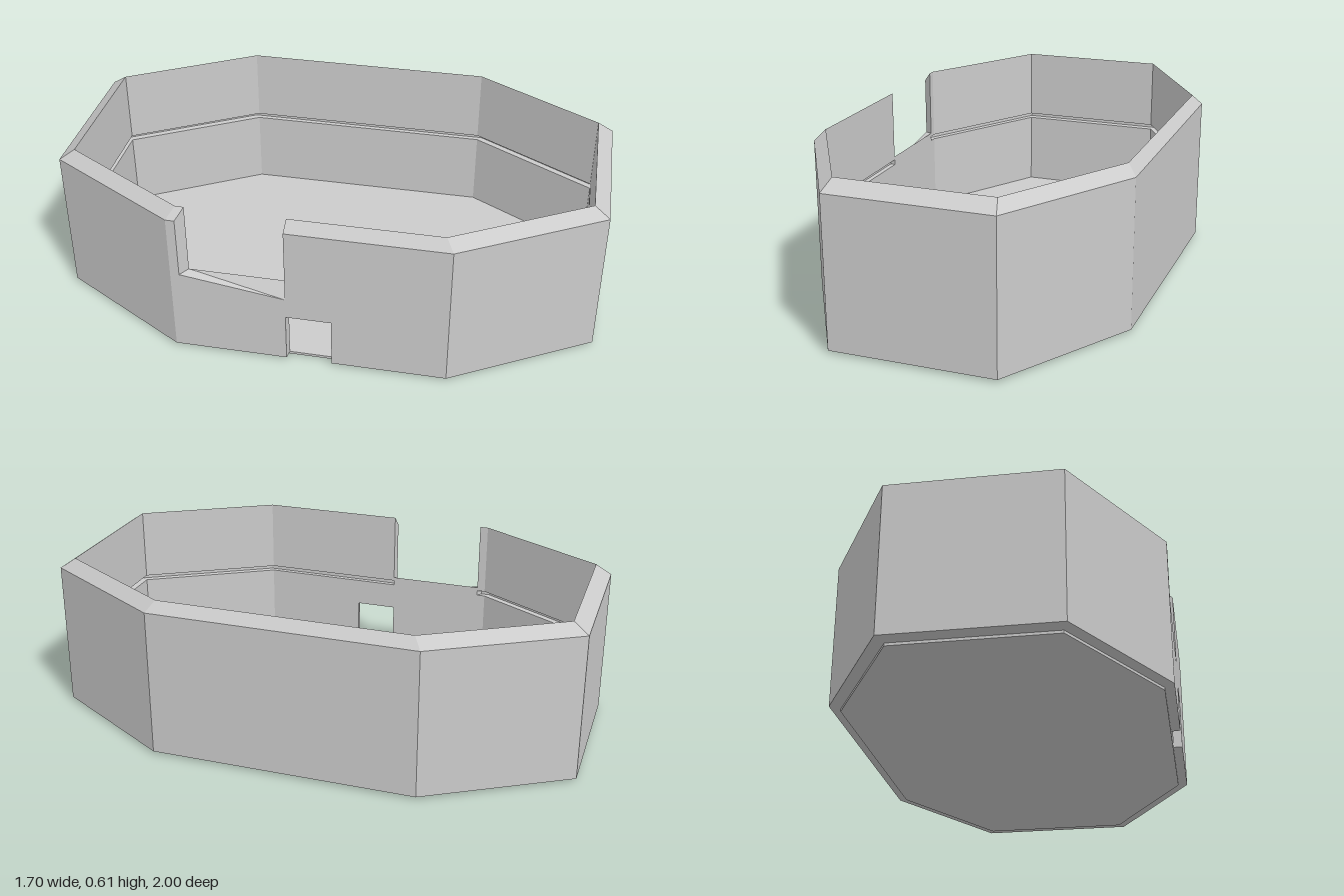
import * as THREE from 'three';

// Outer octagon as (x, z) corners; the inner one is the same shape scaled
const HALF = [[-0.36, -1], [0.19, -0.77], [0.79, -0.0 + 0.045], [0.85, 0.635]];
const CORNERS = [...HALF, ...HALF.map(([x, z]) => [-x, -z])];
const INNER = 0.943, GROOVE = 0.975;

const material = new THREE.MeshStandardMaterial({ color: 0xcccccc, flatShading: true });

// Wall cross-sections: [scale of octagon, height], up the outside and down the inside
const rim = [[1, 0.57], [INNER, 0.61]];
const groove = [[INNER, 0.326], [GROOVE, 0.326], [GROOVE, 0.306], [INNER, 0.306]];
const fullProfile = [[1, 0.01], ...rim, ...groove, [INNER, 0.01]];
const overSlot = [[1, 0.2], ...rim, ...groove, [INNER, 0.2]];
const underSpout = (lip) => [[1, 0.01], [1, lip], [INNER, 0.34], [INNER, 0.01]];

// Length of wall between fractions t0 and t1 of one octagon side
function wallPiece(side, t0, t1, profA, profB, capped) {
  const [p, q] = [CORNERS[side], CORNERS[(side + 1) % 8]];
  const place = (t, prof) => prof.map(([s, y]) => [
    s * THREE.MathUtils.lerp(p[0], q[0], t), y, s * THREE.MathUtils.lerp(p[1], q[1], t)]);
  const a = place(t0, profA), b = place(t1, profB), n = a.length;
  const pos = [];
  for (let i = 0; i < n; i++) {
    const j = (i + 1) % n;
    pos.push(...a[i], ...a[j], ...b[j], ...a[i], ...b[j], ...b[i]);
  }
  if (capped) {
    const faces = (prof) => THREE.ShapeUtils.triangulateShape(
      prof.map(([s, y]) => new THREE.Vector2(s, y)), []);
    for (const [i, j, k] of faces(profA)) pos.push(...a[i], ...a[k], ...a[j]);
    for (const [i, j, k] of faces(profB)) pos.push(...b[i], ...b[j], ...b[k]);
  }
  const geo = new THREE.BufferGeometry();
  geo.setAttribute('position', new THREE.Float32BufferAttribute(pos, 3));
  geo.computeVertexNormals();
  return geo;
}

export function createModel() {
  const model = new THREE.Group();
  model.name = 'octagonalBasin';
  const add = (name, geo) => {
    const mesh = new THREE.Mesh(geo, material);
    mesh.name = name;
    model.add(mesh);
    return mesh;
  };

  // Plain walls; side 5 carries the openings
  for (let side = 0; side < 8; side++) {
    if (side !== 5) add('wall', wallPiece(side, 0, 1, fullProfile, fullProfile, false));
  }

  // Notched wall: low slot through the foot, then a spout with a sloping sill
  const slot = 0.417, spout = 0.583, end = 0.967;
  add('wallBesideSlot', wallPiece(5, 0, slot, fullProfile, fullProfile, true));
  add('wallAboveSlot', wallPiece(5, slot, spout, overSlot, overSlot, true));
  add('spoutSill', wallPiece(5, spout, end, underSpout(0.28), underSpout(0.335), true));
  add('wallBesideSpout', wallPiece(5, end, 1, fullProfile, fullProfile, true));

  // Thin floor plate, standing slightly below the walls
  const outline = new THREE.Shape(CORNERS.map(([x, z]) => new THREE.Vector2(x * INNER, -z * INNER)));
  const floor = new THREE.ExtrudeGeometry(outline, { depth: 0.01, bevelEnabled: false });
  floor.rotateX(-Math.PI / 2);
  add('floor', floor);

  return model;
}
